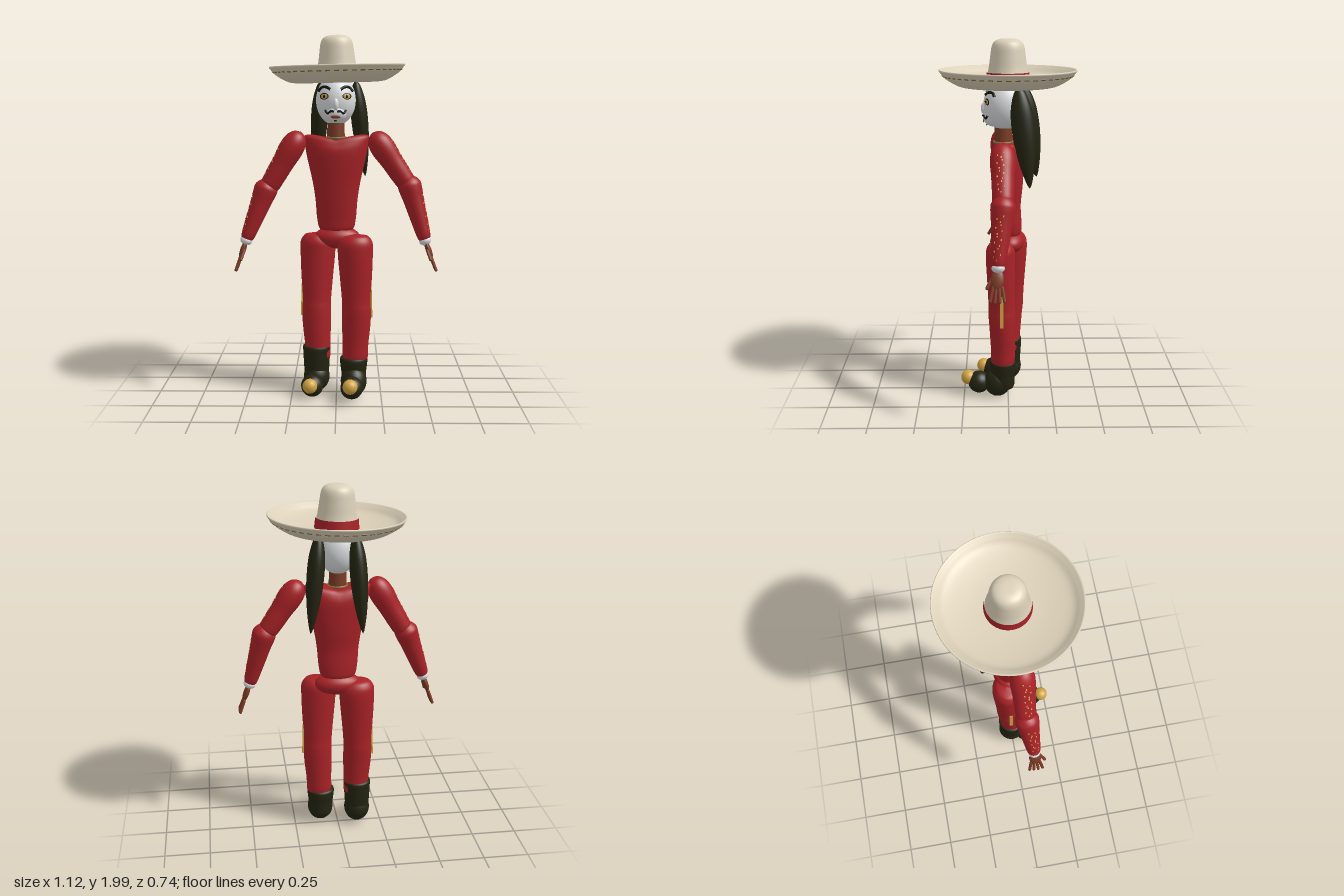
import * as THREE from 'three';

const mat = (name, color, side = THREE.FrontSide) => {
  const m = new THREE.MeshStandardMaterial({ color, side });
  m.name = name;
  return m;
};
const V = (x, y, z) => new THREE.Vector3(x, y, z);
const UP = V(0, 1, 0);

export function createModel() {
  const red = mat('red cloth', 0xa82227);
  const cream = mat('cream felt', 0xdbd0b8);
  const dark = mat('dark olive black', 0x232412);
  const white = mat('white face', 0xdcdde0);
  const skin = mat('brown skin', 0x7b3c25);
  const gold = mat('gold', 0xd2a443);
  const stitch = mat('dull ochre stitching', 0x84703c);
  const black = mat('black paint', 0x14140f);

  const model = new THREE.Group();
  const add = (name, geo, material, parent = model, pos = [0, 0, 0], scale = [1, 1, 1]) => {
    const m = new THREE.Mesh(geo, material);
    m.name = name;
    m.position.set(...pos);
    m.scale.set(...scale);
    parent.add(m);
    return m;
  };
  const ball = (name, material, pos, scale, parent = model) =>
    add(name, new THREE.SphereGeometry(1, 32, 20), material, parent, pos, scale);
  const lathe = (pts, seg = 32) =>
    new THREE.LatheGeometry(pts.map(p => new THREE.Vector2(Math.max(p[0], 0), p[1])), seg);

  // Smooth body through horizontal elliptical rings [x, y, z, rx, rz], bottom to top
  function loft(rings, bend = null, n = 36) {
    const pos = [], idx = [];
    const centre = new THREE.CatmullRomCurve3(rings.map(r => V(r[0], r[1], r[2])));
    const radius = new THREE.CatmullRomCurve3(rings.map(r => V(r[3], r[1], r[4])));
    const rows = (rings.length - 1) * 4;
    for (let i = 0; i <= rows; i++) {
      const c = centre.getPoint(i / rows), r = radius.getPoint(i / rows);
      for (let j = 0; j < n; j++) {
        const a = (j / n) * Math.PI * 2;
        const p = V(c.x + Math.max(r.x, 0) * Math.cos(a), c.y, c.z + Math.max(r.z, 0) * Math.sin(a));
        if (bend) bend(p);
        pos.push(p.x, p.y, p.z);
        if (i < rows) {
          const k = i * n + j, l = i * n + (j + 1) % n;
          idx.push(k, k + n, l, l, k + n, l + n);
        }
      }
    }
    const g = new THREE.BufferGeometry();
    g.setAttribute('position', new THREE.Float32BufferAttribute(pos, 3));
    g.setIndex(idx);
    g.computeVertexNormals();
    return g;
  }

  // Round limb from low point a to high point b, profile of [t, radius]
  function limb(name, a, b, profile, material, scale = [1, 1, 1]) {
    const g = new THREE.Group();
    const d = b.clone().sub(a), len = d.length();
    g.name = name;
    g.position.copy(a);
    g.quaternion.setFromUnitVectors(UP, d.normalize());
    const pts = new THREE.SplineCurve(profile.map(p => new THREE.Vector2(p[1], p[0] * len))).getPoints(32);
    add(name + 'Surface', lathe(pts.map(p => [p.x, p.y])), material, g, [0, 0, 0], scale);
    model.add(g);
    return { g, len };
  }

  // Torso, with the shoulders lifted above the neckline
  add('torso', loft([
    [0, 0.93, -0.01, 0, 0], [0, 0.94, -0.01, 0.09, 0.06], [0, 1.0, -0.008, 0.107, 0.066],
    [0, 1.1, 0, 0.115, 0.07], [0, 1.2, 0, 0.13, 0.08], [0, 1.3, 0.003, 0.152, 0.088],
    [0, 1.38, 0.005, 0.172, 0.09], [0, 1.42, 0.007, 0.178, 0.075], [0, 1.435, 0.012, 0.14, 0.062],
    [0, 1.438, 0.02, 0.07, 0.045], [0, 1.44, 0.02, 0, 0],
  ], p => { p.y += 0.22 * Math.abs(p.x) * THREE.MathUtils.smoothstep(p.y, 1.3, 1.44); }), red);
  ball('pelvis', red, [0.003, 0.895, -0.012], [0.128, 0.063, 0.078]);

  // Neck and collar
  add('neck', new THREE.CylinderGeometry(0.045, 0.05, 0.18, 28), skin, model, [-0.003, 1.49, 0.025]);
  add('collar', new THREE.TorusGeometry(0.052, 0.006, 8, 32), stitch, model, [-0.003, 1.45, 0.025]).rotation.x = Math.PI / 2;

  // Head and painted face
  const skull = [V(-0.003, 1.65, 0.02), V(0.108, 0.135, 0.112)];
  const muzzle = [V(-0.003, 1.585, 0.072), V(0.062, 0.052, 0.063)];
  ball('head', white, skull[0].toArray(), skull[1].toArray());
  ball('muzzle', white, muzzle[0].toArray(), muzzle[1].toArray());
  ball('nose', white, [-0.003, 1.632, 0.128], [0.016, 0.032, 0.018]);
  const faceZ = (x, y) => Math.max(...[skull, muzzle].map(([c, r]) =>
    c.z + r.z * Math.sqrt(Math.max(0, 1 - ((x - c.x) / r.x) ** 2 - ((y - c.y) / r.y) ** 2))));
  const onFace = (name, material, x, y, rx, ry, lift) => {
    const m = ball(name, material, [x, y, faceZ(x, y) + lift], [rx, ry, 0.004]);
    m.rotation.y = x * 8;
    return m;
  };
  const paintLine = (name, pts, r) => add(name, new THREE.TubeGeometry(
    new THREE.CatmullRomCurve3(pts.map(([x, y]) => V(x, y, faceZ(x, y)))), 16, r, 8), black);
  for (const s of [-1, 1]) {
    const x = k => -0.004 + s * k;
    paintLine('eyebrow', [[x(0.025), 1.708], [x(0.05), 1.722], [x(0.075), 1.718], [x(0.092), 1.70]], 0.008);
    onFace('eyeSocket', black, x(0.06), 1.673, 0.027, 0.018, 0);
    onFace('eye', gold, x(0.06), 1.673, 0.021, 0.014, 0.002);
    onFace('pupil', black, x(0.06), 1.673, 0.007, 0.009, 0.005);
    paintLine('moustache', [[x(0.006), 1.593], [x(0.025), 1.595], [x(0.042), 1.583], [x(0.055), 1.6]], 0.006);
  }
  onFace('mouth', skin, -0.004, 1.565, 0.026, 0.009, 0.001);
  onFace('chinBeard', black, -0.004, 1.545, 0.008, 0.006, 0.001);

  // Two hanging tails of hair
  const tail = [[0, 0], [0.06, 0.016], [0.25, 0.042], [0.5, 0.06], [0.75, 0.058], [0.93, 0.032], [1, 0]];
  limb('leftHairTail', V(0.16, 1.225, -0.115), V(0.105, 1.76, -0.055), tail, dark, [0.75, 1, 1]);
  limb('rightHairTail', V(-0.115, 1.23, -0.16), V(-0.085, 1.76, -0.075), tail, dark, [0.75, 1, 1]);

  // Hat: upturned brim, tall crown, band and stitched edge
  const hat = new THREE.Group();
  hat.name = 'hat';
  hat.position.set(0.005, 1.76, 0);
  hat.rotation.z = 0.025;
  model.add(hat);
  const brim = new THREE.SplineCurve([[0, -0.012], [0.12, -0.014], [0.2, -0.014], [0.265, -0.006], [0.33, 0.03],
    [0.36, 0.062], [0.368, 0.074], [0.362, 0.079], [0.342, 0.064], [0.3, 0.035], [0.2, 0.014], [0.1, 0.006], [0, 0.006]]
    .map(p => new THREE.Vector2(...p))).getPoints(60);
  add('brim', lathe(brim.map(p => [p.x, p.y]), 72), cream, hat);
  const crown = new THREE.SplineCurve([[0.115, 0], [0.112, 0.04], [0.102, 0.09], [0.094, 0.15], [0.086, 0.2],
    [0.07, 0.226], [0.04, 0.238], [0, 0.24]].map(p => new THREE.Vector2(...p))).getPoints(40);
  add('crown', lathe(crown.map(p => [p.x, p.y]), 48), cream, hat);
  add('hatBand', new THREE.CylinderGeometry(0.114, 0.119, 0.055, 48, 1, true), red, hat, [0, 0.037, 0]);
  for (let i = 0; i < 48; i++) {
    const pivot = new THREE.Group();
    pivot.name = 'brimStitch';
    pivot.rotation.y = (i / 48) * Math.PI * 2;
    hat.add(pivot);
    add('stitch', new THREE.BoxGeometry(0.004, 0.008, 0.026), stitch, pivot, [0.349, 0.048, 0]).rotation.z = -0.75;
  }

  // Arms
  const upperProfile = [[-0.03, 0], [0, 0.048], [0.2, 0.057], [0.5, 0.06], [0.8, 0.067], [1, 0.06], [1.13, 0.036], [1.18, 0]];
  const foreProfile = [[0, 0], [0.01, 0.033], [0.3, 0.045], [0.7, 0.056], [0.9, 0.064], [1, 0.062], [1.1, 0.038], [1.14, 0]];
  const radiusAt = (profile, t) => {
    const i = profile.findIndex(p => p[0] > t), a = profile[i - 1], b = profile[i];
    return a[1] + (b[1] - a[1]) * (t - a[0]) / (b[0] - a[0]);
  };
  function goldFlecks({ g, len }, profile, s, t0, t1) {
    for (let i = 0; i < 16; i++) {
      const t = t0 + (t1 - t0) * i / 15, z = 0.012 + 0.018 * Math.sin(i * 2.4);
      const r = radiusAt(profile, t);
      add('goldFleck', new THREE.BoxGeometry(0.005, 0.009, 0.006), gold, g,
        [s * Math.sqrt(r * r - z * z), t * len, z]);
    }
  }
  function arm(side, s, shoulder, elbow, wrist, tip) {
    goldFlecks(limb(side + 'UpperArm', elbow, shoulder, upperProfile, red), upperProfile, s, 0.15, 0.9);
    const top = elbow.clone().add(V(s * 0.012, 0, 0));
    goldFlecks(limb(side + 'Forearm', wrist, top, foreProfile, red), foreProfile, s, 0.1, 0.8);
    // Hand hangs from the cuff, fingers fanned front to back
    const hand = new THREE.Group();
    hand.name = side + 'Hand';
    hand.position.copy(wrist);
    hand.quaternion.setFromUnitVectors(UP, wrist.clone().sub(tip).normalize());
    model.add(hand);
    ball('cuff', white, [0, -0.008, 0], [0.034, 0.026, 0.034], hand);
    ball('palm', skin, [0, -0.065, 0.002], [0.016, 0.055, 0.034], hand);
    for (let f = 0; f < 4; f++) {
      const k = f - 1.5, len = 0.085 - 0.008 * Math.abs(k - 0.3);
      const m = add('finger', new THREE.CapsuleGeometry(0.0085, len, 4, 10), skin, hand, [0, -0.14, k * 0.02]);
      m.rotation.x = -k * 0.12;
    }
    add('thumb', new THREE.CapsuleGeometry(0.009, 0.055, 4, 10), skin, hand, [-s * 0.008, -0.085, 0.042]).rotation.x = -0.45;
  }
  arm('left', 1, V(0.225, 1.435, 0.03), V(0.385, 1.2, 0.028), V(0.485, 0.895, 0.055), V(0.556, 0.7, 0.06));
  arm('right', -1, V(-0.22, 1.435, 0.03), V(-0.37, 1.18, 0.028), V(-0.493, 0.895, 0.055), V(-0.56, 0.7, 0.06));

  // Legs with a soft knee, a gold side stripe and round-toed boots
  function leg(side, s, z0, z1, cuffTop, foot) {
    const z = t => z0 + (z1 - z0) * t;
    add(side + 'Leg', loft([
      [s * 0.105, 0.19, z(1), 0, 0], [s * 0.105, 0.2, z(1), 0.064, 0.06], [s * 0.107, 0.3, z(1), 0.072, 0.067],
      [s * 0.111, 0.42, z(0.8), 0.08, 0.072], [s * 0.112, 0.5, z(0.6), 0.08, 0.075], [s * 0.11, 0.54, z(0.5), 0.079, 0.073],
      [s * 0.108, 0.68, z(0.25), 0.089, 0.076], [s * 0.104, 0.82, z(0), 0.097, 0.08], [s * 0.104, 0.875, z(0), 0.095, 0.077],
      [s * 0.108, 0.91, z(0), 0.066, 0.055], [s * 0.11, 0.92, z(0), 0, 0],
    ]), red);
    const stripe = add(side + 'LegStripe', new THREE.BoxGeometry(0.008, 0.18, 0.018), gold, model,
      [s * 0.194, 0.54, z(0.45)]);
    stripe.rotation.z = s * 0.03;
    const x = foot[0][0], zb = z(1);
    add(side + 'BootShaft', loft([
      [x, 0.05, zb, 0, 0], [x, 0.06, zb, 0.06, 0.06], [x, 0.14, zb, 0.07, 0.067],
      [x, cuffTop - 0.05, zb, 0.075, 0.073], [x, cuffTop - 0.01, zb, 0.075, 0.071], [x, cuffTop, zb, 0, 0],
    ]), dark);
    ball(side + 'BootAnkle', dark, foot[0], [0.073, 0.084, 0.077]);
    ball(side + 'BootFront', dark, foot[1], [0.062, 0.062, 0.062]);
    ball(side + 'BootToe', gold, foot[2], [0.041, 0.041, 0.041]);
  }
  leg('left', 1, 0.042, 0.03, 0.228, [[0.097, 0.09, 0.06], [0.085, 0.083, 0.165], [0.076, 0.107, 0.226]]);
  leg('right', -1, -0.028, -0.004, 0.288, [[-0.112, 0.1, 0], [-0.135, 0.07, 0.085], [-0.146, 0.083, 0.14]]);

  return model;
}
